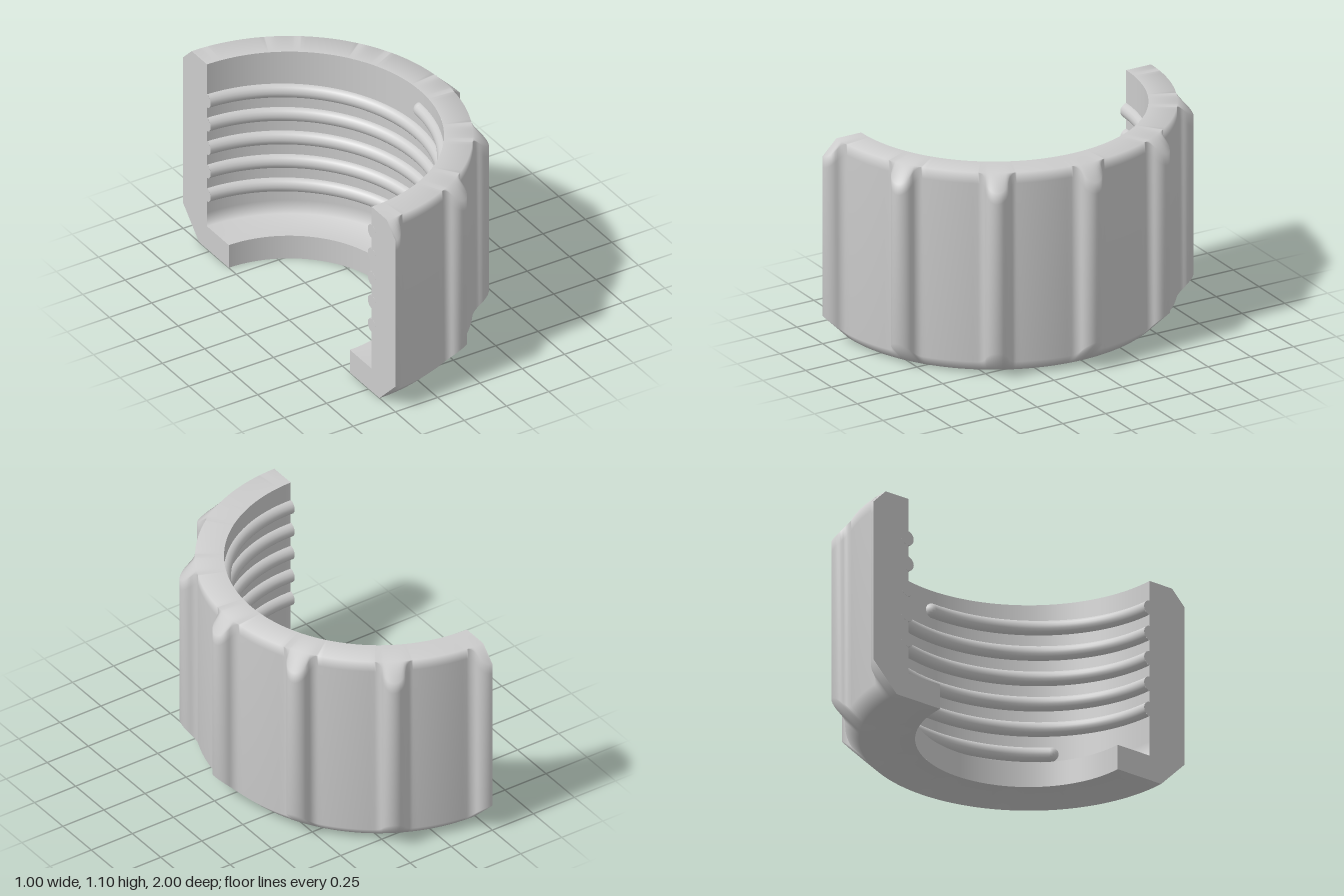
import * as THREE from 'three';
import { mergeVertices } from 'three/addons/utils/BufferGeometryUtils.js';

const H = 1.1, BODY = 0.92, WALL = 0.775, LIP = 0.57, LIP_H = 0.135;
const BOTTOM_R = 0.85; // radius where the 45 degree lower chamfer meets the base
const RAD = Math.PI / 180;

// Half profile of a rib as [tangential offset, radius]
function ribHalf() {
  const pts = [];
  for (let i = 0; i <= 8; i++) { // round crest
    const a = (90 - (78.5 * i) / 8) * RAD;
    pts.push([0.06 * Math.cos(a), 0.94 + 0.06 * Math.sin(a)]);
  }
  for (let i = 1; i <= 6; i++) { // concave root fillet
    const a = (191.5 + (78.5 * i) / 6) * RAD;
    pts.push([0.098 + 0.04 * Math.cos(a), 0.96 + 0.04 * Math.sin(a)]);
  }
  return pts;
}

// Plan outline of the half ring as [angle, radius], with a rib every 30 degrees
function outline() {
  const half = ribHalf(), out = [];
  for (let k = -3; k <= 3; k++) {
    const c = k * 30 * RAD;
    const put = (t, r) => out.push([c + Math.atan2(t, r), r]);
    if (k > -3) for (let i = half.length - 1; i > 0; i--) put(-half[i][0], half[i][1]);
    put(0, 1);
    if (k < 3) {
      for (let i = 1; i < half.length; i++) put(...half[i]);
      for (let i = 1; i < 12; i++) {
        out.push([c + 0.106 + ((30 * RAD - 0.212) * i) / 12, BODY]);
      }
    }
  }
  return out;
}

// Radial section at a given outer radius, from lip underside up to the top rim
const section = (r) => [
  [LIP, 0], [BOTTOM_R, 0], [r, r - BOTTOM_R],
  [r, H - (r - BODY) - 0.06], [r, H - (r - BODY)], [BODY, H], [WALL, H],
];

function shellGeometry() {
  const pos = [], idx = [], cols = outline(), n = section(1).length;
  cols.forEach(([a, r], i) => {
    for (const [sr, y] of section(r)) pos.push(sr * Math.cos(a), y, sr * Math.sin(a));
    if (i === cols.length - 1) return;
    for (let j = 0; j < n - 1; j++) {
      const p = i * n + j, q = p + n;
      idx.push(p, p + 1, q + 1, p, q + 1, q);
    }
  });
  const g = new THREE.BufferGeometry();
  g.setAttribute('position', new THREE.Float32BufferAttribute(pos, 3));
  g.setIndex(idx);
  const welded = mergeVertices(g); // one soft edge where the body meets the top rim
  welded.computeVertexNormals();
  return welded;
}

class Helix extends THREE.Curve {
  constructor(from, to) {
    super();
    this.from = from;
    this.to = to;
  }
  getPoint(t, target = new THREE.Vector3()) {
    const s = this.from + (this.to - this.from) * t, a = s * RAD;
    return target.set(0.78 * Math.cos(a), 0.988 - (0.14 * s) / 360, 0.78 * Math.sin(a));
  }
}

export function createModel() {
  const model = new THREE.Group();
  const ring = new THREE.Group();
  ring.name = 'halfCollar';
  ring.position.x = -0.5; // ring axis lies on the cut plane
  model.add(ring);

  const grey = new THREE.MeshStandardMaterial({ color: 0xcccccc });
  grey.name = 'lightGrey';
  const add = (name, geometry, parent = ring) => {
    const m = new THREE.Mesh(geometry, grey);
    m.name = name;
    parent.add(m);
    return m;
  };

  add('ribbedShell', shellGeometry());

  // Inside faces: the wall runs softly into the lip, the bore has a sharp corner
  const band = (name, ...pts) => add(name, new THREE.LatheGeometry(
    pts.map((p) => new THREE.Vector2(...p)), 96, 0, Math.PI));
  band('innerWall', [WALL, H], [WALL, LIP_H + 0.08], [WALL, LIP_H], [LIP, LIP_H]);
  band('lipBore', [LIP, LIP_H], [LIP, 0]);

  // Flat cut faces on both ends of the half ring
  for (const side of [1, -1]) {
    const pts = [...section(1), [WALL, LIP_H], [LIP, LIP_H]];
    const shape = new THREE.Shape(pts.map(([r, y]) => new THREE.Vector2(side * r, y)));
    add('cutFace', new THREE.ShapeGeometry(shape).rotateY(-Math.PI / 2));
  }

  // Internal screw thread: the parts of one helix that fall in this half
  const thread = new THREE.Group();
  thread.name = 'screwThread';
  ring.add(thread);
  const END = 1847, R = 0.04;
  for (let n = 0; n <= 5; n++) {
    const from = Math.max(0, n * 360 - 90), to = Math.min(END, n * 360 + 90);
    const path = new Helix(from, to);
    add('threadTurn', new THREE.TubeGeometry(path, Math.ceil((to - from) / 2.5), R, 16), thread);
    for (const t of [0, 1]) {
      const s = t ? to : from;
      const tip = s === 0 || s === END; // rounded run-out, otherwise a flat cut
      const cap = add(tip ? 'threadTip' : 'threadCut', tip
        ? new THREE.SphereGeometry(R, 16, 12)
        : new THREE.CircleGeometry(R, 16).rotateY(-Math.PI / 2), thread);
      cap.position.copy(path.getPoint(t));
    }
  }
  return model;
}
